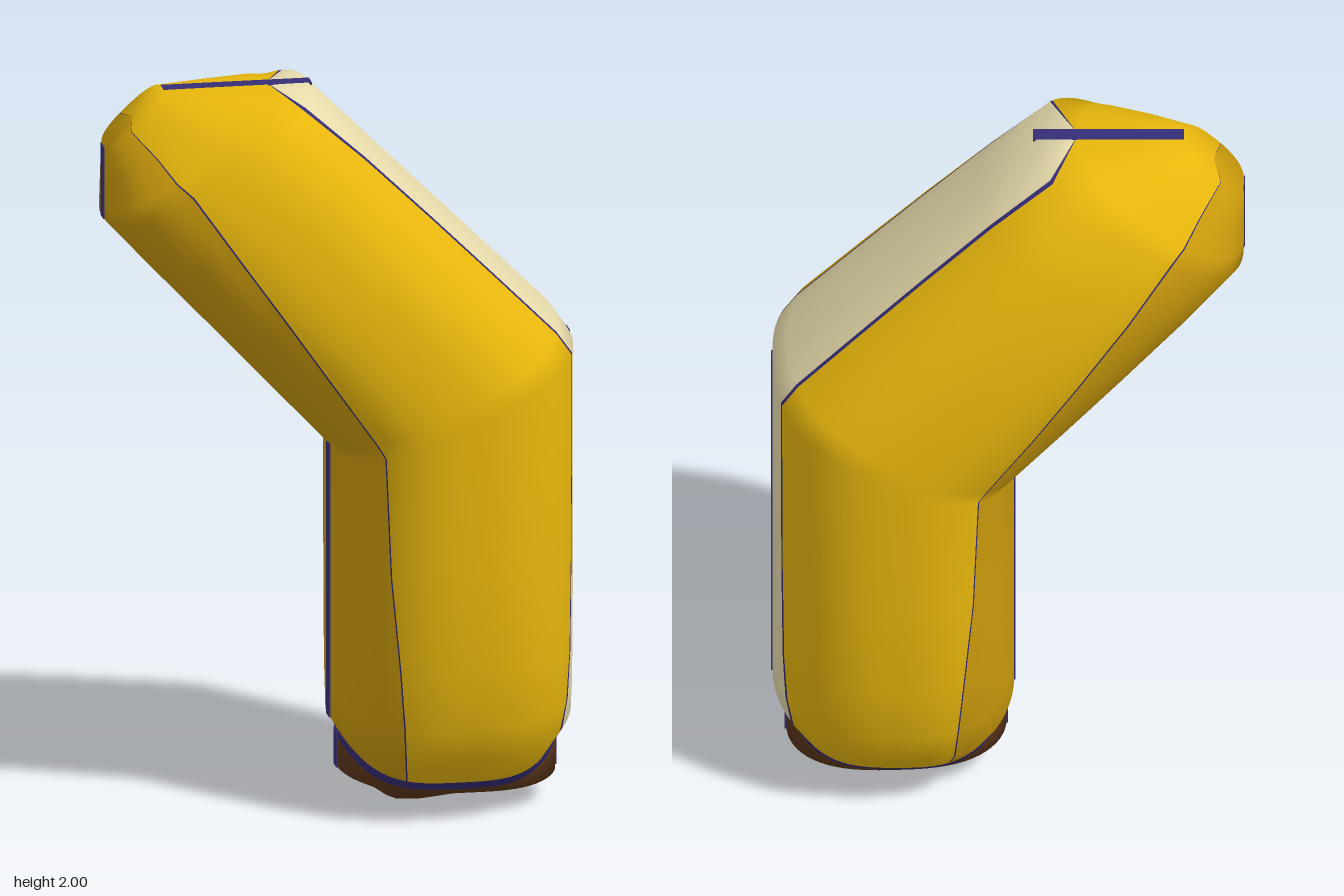
import * as THREE from 'three';

// Cross-sections from base to tip: [inner x, inner y, outer x, outer y, half depth]
const SECTIONS = [
  [0.16, 0, 0.16, 0, 0],
  [0.12, 0.025, 0.26, 0.02, 0.085],
  [0.08, 0.055, 0.38, 0.045, 0.145],
  [0, 0.1, 0.585, 0.08, 0.192],
  [0, 0.18, 0.585, 0.18, 0.21],
  [0, 0.205, 0.585, 0.205, 0.242],
  [-0.02, 0.24, 0.622, 0.27, 0.312],
  [-0.02, 0.32, 0.622, 0.33, 0.357],
  [-0.02, 0.45, 0.622, 0.45, 0.39],
  [-0.02, 0.7, 0.622, 0.75, 0.41],
  [-0.02, 1, 0.622, 1.28, 0.42],
  [-0.05, 1.03, 0.58, 1.34, 0.418],
  [-0.2, 1.19, 0.42, 1.5, 0.405],
  [-0.34, 1.34, 0.25, 1.67, 0.385],
  [-0.5, 1.51, 0.07, 1.85, 0.35],
  [-0.63, 1.65, -0.08, 2, 0.297],
  [-0.63, 1.69, -0.19, 2, 0.25],
  [-0.63, 1.77, -0.32, 2, 0.18],
  [-0.63, 1.85, -0.47, 2, 0.09],
  [-0.55, 1.925, -0.55, 1.925, 0],
];
const BASE_END = 4; // section where the dark base meets its border
const BODY_START = 5; // section where the border meets the body
const BAND_END = 16; // section where the pale band runs out
const TOP = SECTIONS.length - 1;
const ELBOW = 1.14; // middle height of the bend
const POWER = 0.8; // slightly squared ellipse
const TURN = Math.PI * 2;

const rounded = (v) => Math.sign(v) * Math.abs(v) ** POWER;
const middle = (s) => (s[1] + s[3]) / 2;

// The middle of each section hangs lower around the base
const sag = (m) => Math.max(0, 0.1 * Math.min((m - 0.06) / 0.12, (0.42 - m) / 0.22));

function pointOn(s, angle) {
  const [ix, iy, ox, oy, depth] = s;
  const u = rounded(Math.cos(angle));
  const t = (u + 1) / 2;
  const y = iy + (oy - iy) * t - sag(middle(s)) * (1 - u ** 4);
  return [ix + (ox - ix) * t, y, depth * rounded(Math.sin(angle))];
}

// Angle at the edge of the pale band: nearly constant width, closing at the tip
function bandAngle(s, margin = 0) {
  const m = middle(s);
  if (m > 1.84) return 0;
  const halfWidth = Math.min(0.205, 0.15 + 0.7 * (m - 0.18), 0.205 - 0.035 * (m - ELBOW));
  return Math.asin(((halfWidth + margin) / s[4]) ** (1 / POWER));
}
const bandLine = (s) => bandAngle(s, 0.011);

// Angle where the inner strip starts: narrowest at the elbow, wider at both ends
function stripAngle(s) {
  const d = middle(s) - ELBOW;
  const u = 0.71 - (d < 0 ? 0.25 * d * d : 0.6 * d);
  return Math.PI - Math.acos(u ** (1 / POWER));
}
const stripLine = (s) => stripAngle(s) - 0.014;

const mirrored = (rule) => (s) => TURN - rule(s);

// Skin over a run of sections between two angle rules
function skin(name, material, first, last, from, to, columns) {
  const positions = [];
  const index = [];
  const row = columns + 1;
  for (let r = first; r <= last; r++) {
    const a = from(SECTIONS[r]);
    const b = to(SECTIONS[r]);
    for (let c = 0; c <= columns; c++) {
      positions.push(...pointOn(SECTIONS[r], a + ((b - a) * c) / columns));
      if (r < last && c < columns) {
        const p = (r - first) * row + c;
        index.push(p, p + row, p + 1, p + 1, p + row, p + row + 1);
      }
    }
  }
  const geometry = new THREE.BufferGeometry();
  geometry.setAttribute('position', new THREE.Float32BufferAttribute(positions, 3));
  geometry.setIndex(index);
  geometry.computeVertexNormals();
  const mesh = new THREE.Mesh(geometry, material);
  mesh.name = name;
  return mesh;
}

// Thin plate along the middle of an upright or level face
function seam(name, material, x1, y1, x2, y2) {
  const thick = 0.008;
  const geometry = new THREE.BoxGeometry(Math.max(x2 - x1, thick), Math.max(y2 - y1, thick), 0.046);
  const mesh = new THREE.Mesh(geometry, material);
  mesh.position.set((x1 + x2) / 2, (y1 + y2) / 2, 0);
  mesh.name = name;
  return mesh;
}

function paint(name, color) {
  const material = new THREE.MeshStandardMaterial({ color });
  material.name = name;
  return material;
}

export function createModel() {
  const yellow = paint('yellow', 0xe8b70c);
  const gold = paint('gold', 0xcb9b0c);
  const cream = paint('cream', 0xe6daaa);
  const brown = paint('brown', 0x5f381b);
  const navy = paint('navy', 0x362d76);

  const model = new THREE.Group();
  model.name = 'bentFruit';
  model.add(
    // Dark base tip and the border above it
    skin('baseTip', brown, 0, BASE_END, () => -Math.PI, () => Math.PI, 64),
    skin('baseBorder', navy, BASE_END, BODY_START, () => -Math.PI, () => Math.PI, 64),
    // Pale band along the outer curve
    skin('outerBand', cream, BODY_START, BAND_END, (s) => -bandAngle(s), bandAngle, 16),
    // Deeper strip along the inner curve
    skin('innerStrip', gold, BODY_START, TOP, stripAngle, mirrored(stripAngle), 24),
    // Yellow flanks, front and back
    skin('frontFlank', yellow, BODY_START, TOP, bandLine, stripLine, 32),
    skin('backFlank', yellow, BODY_START, TOP, mirrored(stripLine), mirrored(bandLine), 32),
    // Fine outlines between the colours
    skin('frontBandLine', navy, BODY_START, BAND_END, bandAngle, bandLine, 1),
    skin('backBandLine', navy, BODY_START, BAND_END, mirrored(bandLine), mirrored(bandAngle), 1),
    skin('frontStripLine', navy, BODY_START, TOP, stripLine, stripAngle, 1),
    skin('backStripLine', navy, BODY_START, TOP, mirrored(stripAngle), mirrored(stripLine), 1),
    // Seams on the straight faces
    seam('topSeam', navy, -0.47, 1.996, -0.07, 1.996),
    seam('tipSeam', navy, -0.628, 1.65, -0.628, 1.85),
    seam('innerSeam', navy, -0.02, 0.24, -0.02, 1),
    seam('outerSeam', navy, 0.621, 0.27, 0.621, 1.28),
    seam('innerBaseSeam', navy, 0, 0.1, 0, 0.2),
    seam('outerBaseSeam', navy, 0.585, 0.08, 0.585, 0.2),
  );
  return model;
}
